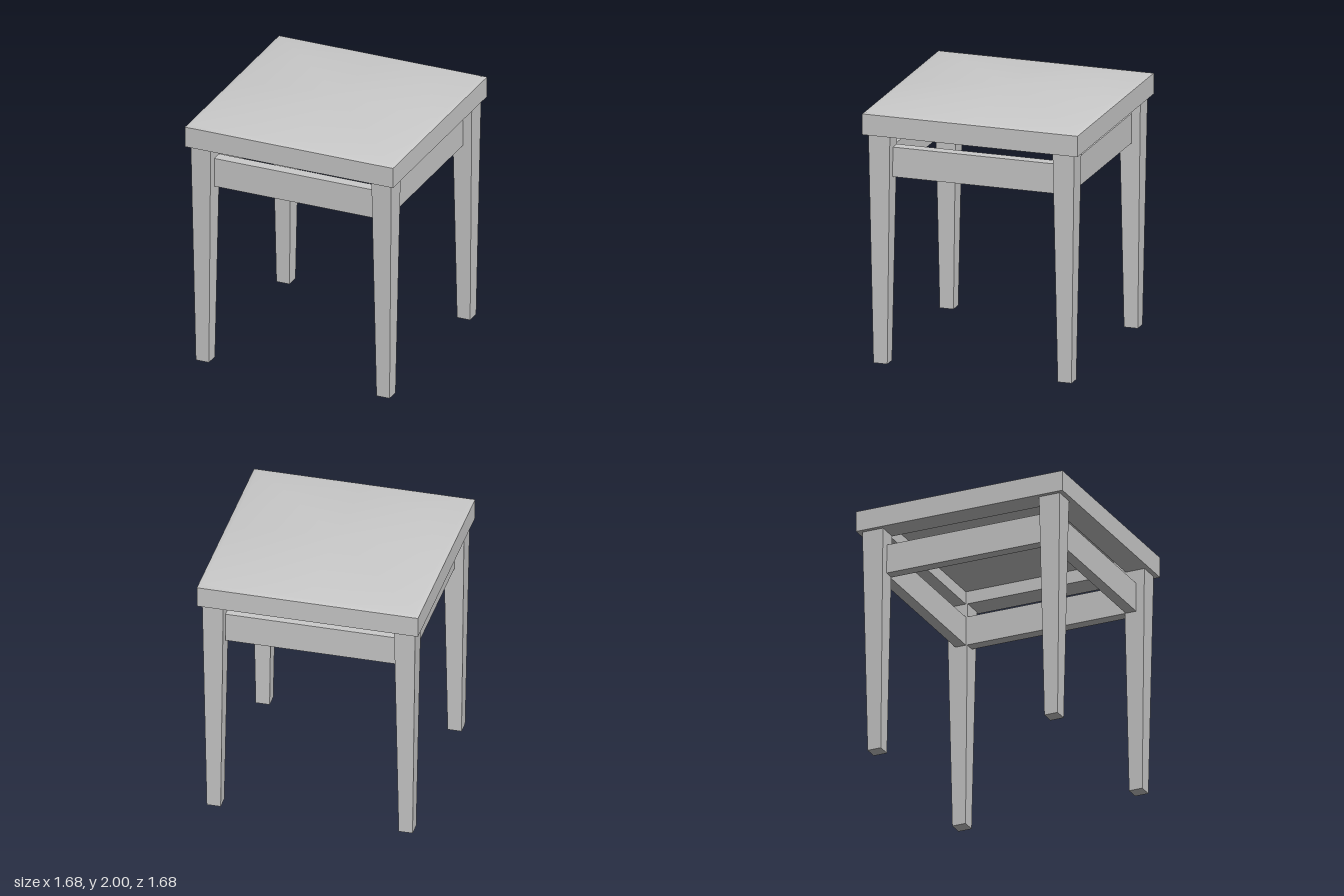
import * as THREE from 'three';
import { mergeVertices } from 'three/addons/utils/BufferGeometryUtils.js';

const material = new THREE.MeshStandardMaterial({ color: 0xcccccc, side: THREE.DoubleSide });

function addBox(parent, name, x0, x1, y0, y1, z0, z1) {
  const mesh = new THREE.Mesh(new THREE.BoxGeometry(x1 - x0, y1 - y0, z1 - z0), material);
  mesh.position.set((x0 + x1) / 2, (y0 + y1) / 2, (z0 + z1) / 2);
  mesh.name = name;
  parent.add(mesh);
}

function square(PathType, half) {
  return new PathType([[-1, -1], [1, -1], [1, 1], [-1, 1]].map(([x, y]) => new THREE.Vector2(x * half, y * half)));
}

// Softly domed seat top: one quarter, repeated around the middle
function createSeatTop() {
  const apex = [0, 2, 0];
  const bulge = [0.52, 1.972, 0.52];
  const [m1, corner, m2] = [[0.8, 1.937, 0], [0.8, 1.937, 0.8], [0, 1.937, 0.8]];
  const [o1, outerCorner, o2] = [[0.84, 1.925, 0], [0.84, 1.925, 0.84], [0, 1.925, 0.84]];
  const quarter = [
    bulge, apex, m2, bulge, m2, corner, bulge, corner, m1, bulge, m1, apex,
    m2, o2, outerCorner, m2, outerCorner, corner,
    corner, outerCorner, o1, corner, o1, m1,
  ];
  const points = [];
  for (let q = 0; q < 4; q++) {
    for (const p of quarter) {
      points.push(new THREE.Vector3(...p).applyAxisAngle(new THREE.Vector3(0, 1, 0), q * Math.PI / 2));
    }
  }
  const geometry = mergeVertices(new THREE.BufferGeometry().setFromPoints(points), 0.001);
  geometry.computeVertexNormals();
  const mesh = new THREE.Mesh(geometry, material);
  mesh.name = 'seatTop';
  return mesh;
}

// Square seat frame, open in the middle
function createSeatFrame() {
  const shape = square(THREE.Shape, 0.84);
  shape.holes.push(square(THREE.Path, 0.65));
  const geometry = new THREE.ExtrudeGeometry(shape, { depth: 0.16, bevelEnabled: false });
  geometry.rotateX(-Math.PI / 2);
  const mesh = new THREE.Mesh(geometry, material);
  mesh.position.y = 1.765;
  mesh.name = 'seatFrame';
  return mesh;
}

// Square leg that narrows evenly towards the foot
function createLeg(name, sx, sz) {
  const height = 1.765;
  const geometry = new THREE.BoxGeometry(0.16, height, 0.168);
  const position = geometry.attributes.position;
  for (let i = 0; i < position.count; i++) {
    if (position.getY(i) < 0) {
      position.setX(i, position.getX(i) * 0.66);
      position.setZ(i, position.getZ(i) * 0.64);
    }
  }
  geometry.computeVertexNormals();
  const mesh = new THREE.Mesh(geometry, material);
  mesh.position.set(sx * 0.729, height / 2, sz * 0.719);
  mesh.name = name;
  return mesh;
}

export function createModel() {
  const stool = new THREE.Group();
  stool.name = 'stool';

  // Seat: frame, panel let into it and domed top
  const seat = new THREE.Group();
  seat.name = 'seat';
  seat.add(createSeatFrame(), createSeatTop());
  addBox(seat, 'seatPanel', -0.65, 0.65, 1.865, 1.925, -0.65, 0.65);
  stool.add(seat);

  // Legs
  for (const sx of [-1, 1]) {
    for (const sz of [-1, 1]) {
      const name = (sz > 0 ? 'front' : 'back') + (sx > 0 ? 'Left' : 'Right') + 'Leg';
      stool.add(createLeg(name, sx, sz));
    }
  }

  // Rails between the legs, set back from the outer leg faces
  const [y0, y1, inner, outer] = [1.432, 1.66, 0.65, 0.735];
  addBox(stool, 'frontRail', -0.65, 0.65, y0, y1, inner, outer);
  addBox(stool, 'backRail', -0.65, 0.65, y0, y1, -outer, -inner);
  addBox(stool, 'leftRail', inner, outer, y0, y1, -0.64, 0.64);
  addBox(stool, 'rightRail', -outer, -inner, y0, y1, -0.64, 0.64);

  return stool;
}
